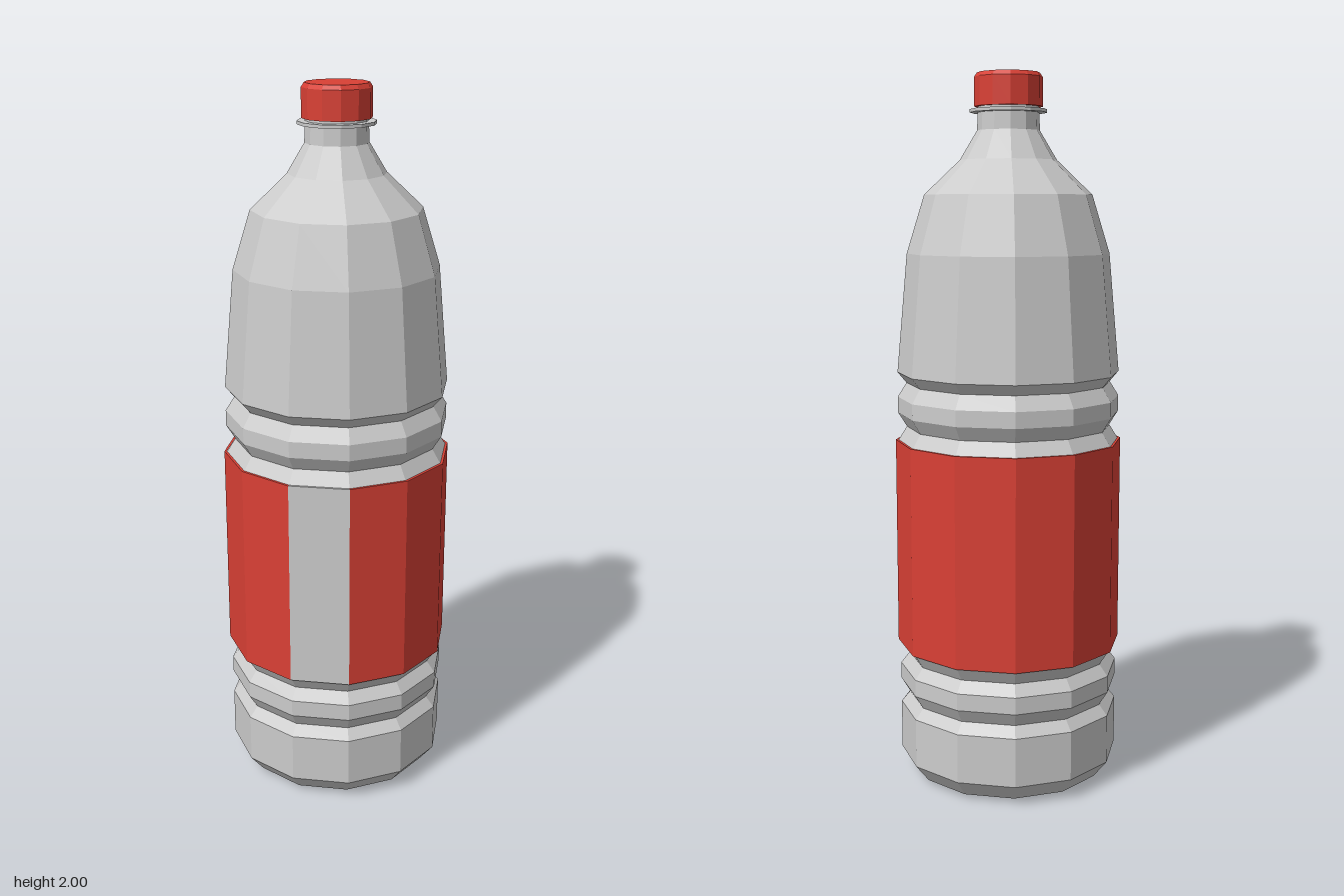
import * as THREE from 'three';

const SIDES = 12;
const STEP = (Math.PI * 2) / SIDES;

const grey = new THREE.MeshStandardMaterial({ color: 0xcccccc, flatShading: true });
const red = new THREE.MeshStandardMaterial({ color: 0xd94035, flatShading: true });

// Faceted lathe from [radius, y] pairs listed bottom to top, covering some of the twelve sides
function facetedLathe(name, profile, material, firstSide = 0, sides = SIDES) {
  const points = profile.map(([r, y]) => new THREE.Vector2(r, y));
  const geometry = new THREE.LatheGeometry(points, sides, firstSide * STEP, sides * STEP).toNonIndexed();
  geometry.computeVertexNormals();
  const mesh = new THREE.Mesh(geometry, material);
  mesh.name = name;
  return mesh;
}

export function createModel() {
  const group = new THREE.Group();
  group.name = 'bottle';

  const wide = 0.315, groove = 0.29;

  // Body: recessed base, ribbed lower part, label seat, ribs, shoulder and neck
  group.add(facetedLathe('body', [
    [0, 0.015], [0.235, 0.015], [0.25, 0], [0.275, 0.01], [wide, 0.06],
    [wide, 0.2], [groove, 0.23], [wide, 0.27],
    [wide, 0.318], [groove, 0.35], [wide, 0.39],
    [wide, 0.98], [groove, 1.02], [wide, 1.06],
    [wide, 1.105], [groove, 1.145], [wide, 1.175],
    [0.285, 1.508], [0.235, 1.67], [0.135, 1.765], [0.087, 1.845], [0.085, 1.91],
  ], grey));

  // Wrapped label: eleven red sides and one plain side
  const band = [[wide, 0.39], [0.322, 0.39], [0.322, 0.982], [wide, 0.982]];
  group.add(facetedLathe('label', band, red, 2, SIDES - 1));
  group.add(facetedLathe('labelPlainPanel', band, grey, 1, 1));

  // Collar under the cap
  group.add(facetedLathe('neckRing', [
    [0.08, 1.893], [0.107, 1.893], [0.107, 1.902], [0.08, 1.902],
  ], grey));

  // Screw cap with a bevelled top
  group.add(facetedLathe('cap', [
    [0, 1.909], [0.095, 1.909], [0.095, 1.988], [0.087, 2], [0, 2],
  ], red));

  return group;
}
